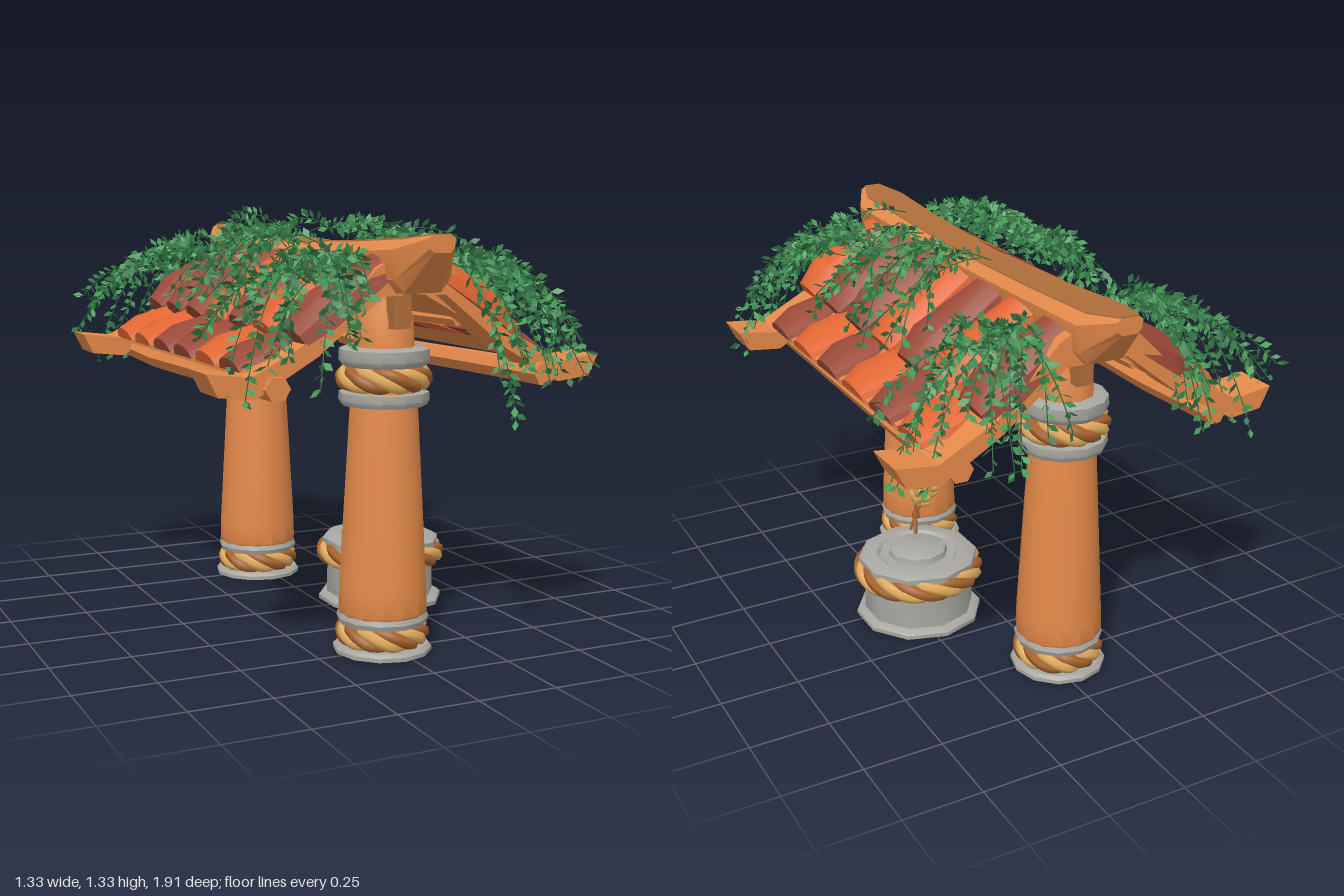
import * as THREE from 'three';
import { mergeGeometries, toCreasedNormals } from 'three/addons/utils/BufferGeometryUtils.js';

const V = (x, y, z) => new THREE.Vector3(x, y, z);
const mat = (name, color, extra = {}) => {
  const m = new THREE.MeshStandardMaterial({ color, ...extra });
  m.name = name;
  return m;
};
const CX = -0.02; // axis of the roof

// Closed solid through a list of equal-length convex loops
function loft(loops, crease = 0.6) {
  const pos = [];
  const tri = (a, b, c) => pos.push(...a.toArray(), ...b.toArray(), ...c.toArray());
  const n = loops[0].length;
  for (let i = 0; i < loops.length - 1; i++) {
    for (let k = 0; k < n; k++) {
      const a = loops[i][k], b = loops[i][(k + 1) % n];
      const c = loops[i + 1][(k + 1) % n], d = loops[i + 1][k];
      tri(a, b, c);
      tri(a, c, d);
    }
  }
  const last = loops[loops.length - 1];
  for (let k = 1; k < n - 1; k++) {
    tri(loops[0][0], loops[0][k + 1], loops[0][k]);
    tri(last[0], last[k], last[k + 1]);
  }
  // flip the faces when the enclosed volume comes out negative
  let vol = 0;
  const p = (i) => V(pos[i], pos[i + 1], pos[i + 2]);
  for (let i = 0; i < pos.length; i += 9) vol += p(i).dot(p(i + 3).cross(p(i + 6)));
  if (vol < 0) {
    for (let i = 0; i < pos.length; i += 9) {
      for (let j = 0; j < 3; j++) [pos[i + 3 + j], pos[i + 6 + j]] = [pos[i + 6 + j], pos[i + 3 + j]];
    }
  }
  const g = new THREE.BufferGeometry();
  g.setAttribute('position', new THREE.Float32BufferAttribute(pos, 3));
  return toCreasedNormals(g, crease);
}

export function createModel() {
  const root = new THREE.Group();
  root.name = 'shrineGate';
  const wood = mat('orange wood', 0xe58a4a);
  const brown = mat('weathered wood', 0xb06e3a);
  const stone = mat('grey stone', 0xa8a7a1);
  const ropeLight = mat('light rope', 0xe2ab5e);
  const ropeDark = mat('dark rope', 0xa8642c);
  const tileOrange = mat('orange tile', 0xe06532);
  const tileDark = mat('dark red tile', 0x9a4a38);
  const gold = mat('wheat gold', 0xd6a658);
  const leafLight = mat('leaf green', 0x479a58, { side: THREE.DoubleSide });
  const leafDark = mat('deep leaf green', 0x317444, { side: THREE.DoubleSide });

  let seed = 11;
  const rnd = () => (seed = (seed * 16807) % 2147483647) / 2147483647;
  const range = (a, b) => a + (b - a) * rnd();
  const add = (name, geo, material, parent = root) => {
    const m = new THREE.Mesh(geo, material);
    m.name = name;
    parent.add(m);
    return m;
  };
  const lathe = (pts, sides) => toCreasedNormals(
    new THREE.LatheGeometry(pts.map(([r, y]) => new THREE.Vector2(r, y)), sides), 0.68);

  // Rope ring twisted from four strands
  function rope(parent, y, R, turns) {
    const strands = [[], []];
    for (let k = 0; k < 4; k++) {
      const pts = [];
      for (let i = 0; i < 60; i++) {
        const t = (i / 60) * Math.PI * 2, q = turns * t + (k * Math.PI) / 2;
        const r = R + 0.017 * Math.cos(q);
        pts.push(V(r * Math.cos(t), y + 0.02 * Math.sin(q), r * Math.sin(t)));
      }
      strands[k % 2].push(new THREE.TubeGeometry(new THREE.CatmullRomCurve3(pts, true), 72, 0.019, 6, true));
    }
    add('ropeLightStrands', mergeGeometries(strands[0]), ropeLight, parent);
    add('ropeDarkStrands', mergeGeometries(strands[1]), ropeDark, parent);
  }

  // Pillars with stone collars and rope bindings
  for (const z of [0.48, -0.52]) {
    const g = new THREE.Group();
    g.name = z > 0 ? 'frontPillar' : 'backPillar';
    g.position.set(-0.03, 0, z);
    root.add(g);
    add('base', lathe([[0, 0], [0.15, 0], [0.15, 0.012], [0.14, 0.022], [0, 0.022]], 12), stone, g);
    add('shaft', lathe([[0.115, 0.02], [0.12, 0.1], [0.136, 0.125], [0.134, 0.2], [0.104, 0.73], [0.1, 0.77]], 14), wood, g);
    add('lowerCollar', lathe([[0.1, 0.085], [0.135, 0.09], [0.14, 0.105], [0.134, 0.12], [0.1, 0.122]], 12), stone, g);
    add('middleCollar', lathe([[0.09, 0.745], [0.128, 0.75], [0.136, 0.765], [0.134, 0.788], [0.09, 0.792]], 12), stone, g);
    add('neck', lathe([[0.11, 0.78], [0.11, 0.88]], 12), wood, g);
    add('upperCollar', lathe([[0.09, 0.862], [0.125, 0.866], [0.136, 0.882], [0.134, 0.915], [0.12, 0.922], [0, 0.922]], 12), stone, g);
    add('capital', lathe([[0.092, 0.915], [0.088, 1.0], [0.068, 1.06], [0.066, 1.15]], 10), wood, g);
    rope(g, 0.056, 0.108, 3);
    rope(g, 0.83, 0.11, 3);
    add('peg', new THREE.BoxGeometry(0.055, 0.12, 0.05), brown, g).position.set(0, 1.04, Math.sign(z) * 0.09);
  }

  // Stone pedestal
  const ped = new THREE.Group();
  ped.name = 'pedestal';
  ped.position.set(0.22, 0, -0.025);
  root.add(ped);
  add('pedestalBody', lathe([[0, 0], [0.21, 0], [0.21, 0.013], [0.2, 0.022], [0.182, 0.025], [0.18, 0.19],
    [0.198, 0.19], [0.198, 0.212], [0.18, 0.224], [0.14, 0.224], [0.13, 0.214], [0, 0.214]], 10), stone, ped);
  add('pedestalTop', lathe([[0.1, 0.21], [0.095, 0.233], [0.085, 0.24], [0, 0.24]], 10), stone, ped);
  rope(ped, 0.165, 0.182, 4);

  // Wheat sheaf: fanned stalks with paired grains
  const sheaf = new THREE.Group();
  sheaf.name = 'wheatSheaf';
  sheaf.position.set(0.225, 0, -0.025);
  root.add(sheaf);
  const stalks = [], grains = [], yAxis = V(0, 1, 0);
  const grain = (p, dir, len) => {
    const s = new THREE.SphereGeometry(1, 6, 5).scale(0.0115, len / 2, 0.0125);
    s.applyQuaternion(new THREE.Quaternion().setFromUnitVectors(yAxis, dir.normalize()));
    grains.push(s.translate(p.x, p.y, p.z));
  };
  for (const [x, y, z] of [[0, 0.6, 0], [-0.02, 0.52, 0.055], [0.01, 0.52, -0.055], [-0.035, 0.47, 0.075], [-0.03, 0.48, -0.07]]) {
    const curve = new THREE.QuadraticBezierCurve3(V(-x * 0.4, 0.295, -z * 0.25), V(0, 0.38, 0), V(x, y, z));
    stalks.push(new THREE.TubeGeometry(curve, 8, 0.005, 5));
    const rows = y > 0.55 ? 7 : 4;
    for (let i = 0; i < rows; i++) {
      const p = curve.getPoint(1 - i * (y > 0.55 ? 0.085 : 0.12)), t = curve.getTangent(0.8);
      for (const s of [-1, 1]) {
        const out = V(i % 2 ? 0.25 * s : -0.1 * s, 0, s * 0.55);
        grain(p.clone().addScaledVector(out, 0.025), t.clone().add(out), 0.052);
      }
    }
    grain(V(x, y + 0.012, z), curve.getTangent(1), 0.055);
  }
  add('wheatStalks', mergeGeometries(stalks), brown, sheaf);
  add('wheatGrains', mergeGeometries(grains), gold, sheaf);
  add('wheatTie', new THREE.CylinderGeometry(0.013, 0.013, 0.02, 8), ropeDark, sheaf).position.y = 0.355;

  // Ridge beam: z, top, bottom, half width
  const ridge = [[0.81, 1.255, 1.205, 0.042], [0.7, 1.242, 1.09, 0.097], [0.4, 1.228, 1.08, 0.086], [0, 1.215, 1.08, 0.08],
    [-0.42, 1.225, 1.08, 0.086], [-0.74, 1.242, 1.09, 0.097], [-0.855, 1.255, 1.205, 0.042]];
  add('ridgeBeam', loft(ridge.map(([z, t, b, w]) => [[-0.65, t], [0.65, t], [1, t - (t - b) * 0.2], [0.92, b + (t - b) * 0.25],
    [0.6, b], [-0.6, b], [-0.92, b + (t - b) * 0.25], [-1, t - (t - b) * 0.2]].map(([x, y]) => V(-0.025 + x * w, y, z)))), wood);
  add('ridgeTop', loft(ridge.map(([z, t, , w]) => [[-0.68, t - 0.002], [0.68, t - 0.002], [0.66, t + 0.003], [-0.66, t + 0.003]]
    .map(([x, y]) => V(-0.025 + x * w, y, z)))), brown);

  // Slab cut from a side profile, running along z
  const slab = (name, pts, s, z0, z1, material) => {
    const shape = new THREE.Shape(pts.map(([x, y]) => new THREE.Vector2(CX + s * x, y)));
    add(name, new THREE.ExtrudeGeometry(shape, { depth: z1 - z0, bevelEnabled: false }).translate(0, 0, z0), material);
  };
  const rafter = [[0.04, 1.2], [0.12, 1.16], [0.32, 0.965], [0.5, 0.872], [0.63, 0.888], [0.597, 0.822], [0.49, 0.81], [0.3, 0.92], [0.1, 1.08], [0.04, 1.08]];
  const board = [[0, 1.14], [0.33, 0.955], [0.49, 0.88], [0.49, 0.862], [0.33, 0.932], [0, 1.115]];

  // Barrel tile between two points of the slope
  function tile(s, z, w, h, a, b, material) {
    const d = new THREE.Vector2(b[0] - a[0], b[1] - a[1]), n = new THREE.Vector2(-d.y, d.x).normalize();
    const loops = [[0, 0.78], [0.72, 1.06], [1, 0.74]].map(([t, k]) => Array.from({ length: 7 }, (_, i) => {
      const q = (Math.PI * i) / 6, up = Math.sin(q) * h * k;
      return V(CX + s * (a[0] + d.x * t + n.x * up), a[1] + d.y * t + n.y * up, z + Math.cos(q) * w * 0.5 * k);
    }));
    add('roofTile', loft(loops, 0.5), material);
  }
  for (const s of [1, -1]) {
    const side = s > 0 ? 'left' : 'right';
    slab(side + 'FrontRafter', rafter, s, 0.51, 0.65, wood);
    slab(side + 'BackRafter', rafter, s, -0.71, -0.57, wood);
    slab(side + 'RoofBoard', board, s, -0.64, 0.58, wood);
    // sagging eave beam and a short beam higher up between the rafters
    for (const [x, y, r, zs] of [[0.43, 0.838, 0.038, [0.67, 0.3, -0.05, -0.35, -0.71]], [0.22, 0.995, 0.022, [0.52, 0.26, -0.03, -0.3, -0.58]]]) {
      add(side + 'Purlin', loft(zs.map((z, i) => Array.from({ length: 6 }, (_, k) =>
        V(CX + s * x + Math.cos(k * Math.PI / 3) * r, y - [0, 0.004, 0.01, 0.014, 0][i] + Math.sin(k * Math.PI / 3) * r, z)))), wood);
    }
    // o is an orange tile, d a dark one, from front to back
    [...(s > 0 ? 'oddodod' : 'dododdd')].forEach((c, i) =>
      tile(s, 0.57 - i * 0.197, 0.215, 0.09, [0.06, 1.14], [0.335, 0.95], c === 'o' ? tileOrange : tileDark));
    [...(s > 0 ? 'dododo' : 'doddoo')].forEach((c, i) =>
      tile(s, 0.475 - i * 0.2, 0.215, 0.055, [0.24, 0.965], [0.495, 0.872], c === 'o' ? tileOrange : tileDark));
  }

  // Trailing vines: arched stems with paired leaves
  const stems = [], leaves = [[], []];
  function vine(a, b, c, count) {
    const curve = new THREE.QuadraticBezierCurve3(a, b, c);
    stems.push(new THREE.TubeGeometry(curve, 8, 0.002, 3));
    for (let i = 0; i < count; i++) {
      const u = 0.08 + 0.92 * (i / (count - 1));
      const p = curve.getPoint(u), t = curve.getTangent(u);
      for (const s of [-1, 1]) {
        const side = V(range(-1, 1), range(-0.6, 0.9), range(-1, 1)).cross(t).normalize();
        const dir = t.clone().multiplyScalar(0.6).addScaledVector(side, s * 0.8).normalize();
        const wide = V(range(-1, 1), range(-1, 1), range(-1, 1)).cross(dir).normalize();
        const len = range(0.028, 0.042), mid = p.clone().addScaledVector(dir, len * 0.5);
        const l = mid.clone().addScaledVector(wide, len * 0.27), r = mid.clone().addScaledVector(wide, -len * 0.27);
        const tip = p.clone().addScaledVector(dir, len);
        leaves[rnd() < 0.65 ? 0 : 1].push(p, l, tip, p, tip, r);
      }
    }
  }
  for (const s of [1, -1]) {
    for (const f of [1, -1]) {
      for (let i = 0; i < 16; i++) {
        const u = (i + rnd()) / 16;
        const a = V(CX + s * range(0.14, 0.28), range(1.1, 1.2), -0.02 + f * range(0.4, 0.56));
        const c = V(CX + s * (0.18 + 0.46 * u), range(0.84, 1.1) - 0.08 * u, f * (range(0.72, 0.96) - 0.22 * u * u));
        vine(a, V(a.x + (c.x - a.x) * 0.65, 1.3 - 0.1 * u, a.z + (c.z - a.z) * 0.6), c, 22);
      }
    }
    for (let i = 0; i < 15; i++) {
      const z = (s > 0 ? 0.12 : -0.05) + range(-0.3, 0.3), x = range(0.26, 0.47);
      const a = V(CX + s * range(0.04, 0.16), range(1.19, 1.27), z);
      vine(a, V(CX + s * 0.24, range(1.24, 1.4), z + range(-0.15, 0.15)), V(CX + s * x, 1.28 - x * 0.55, z + range(-0.22, 0.22)), 17);
    }
  }
  vine(V(0.12, 1.16, 0.68), V(0.18, 1.0, 0.82), V(0.22, 0.73, 0.81), 26);
  add('vineStems', mergeGeometries(stems), leafDark);
  leaves.forEach((pts, i) => {
    const g = new THREE.BufferGeometry().setFromPoints(pts);
    g.computeVertexNormals();
    add(i ? 'darkLeaves' : 'lightLeaves', g, i ? leafDark : leafLight);
  });
  return root;
}
